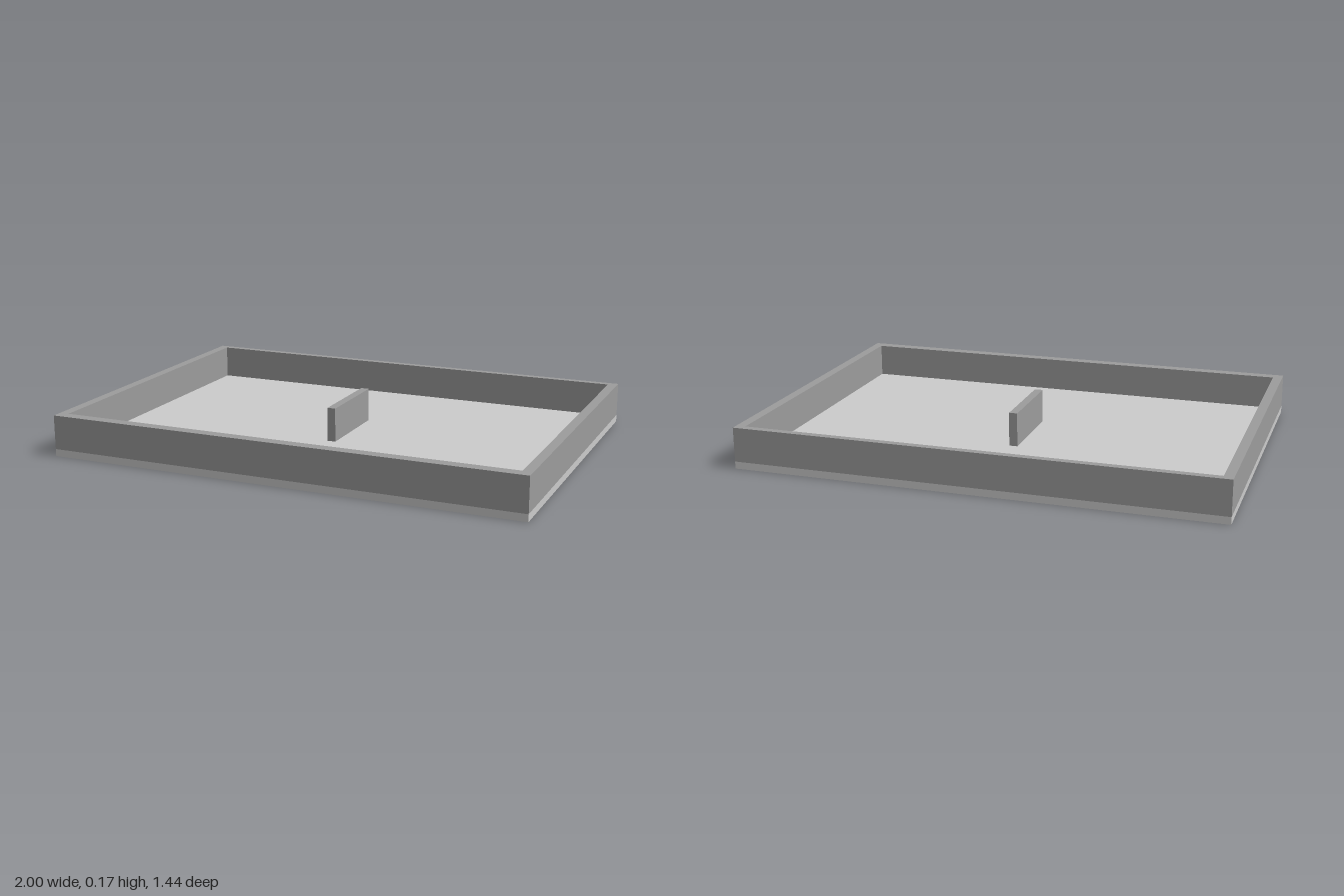
import * as THREE from 'three';

const BASE_TOP = 0.03, TOP = 0.173, HALF_X = 1, HALF_Z = 0.718;

// Box given by its minimum and maximum corners
function block(name, min, max, material) {
  const size = max.map((v, i) => v - min[i]);
  const mesh = new THREE.Mesh(new THREE.BoxGeometry(...size), material);
  mesh.position.set(...max.map((v, i) => (v + min[i]) / 2));
  mesh.name = name;
  return mesh;
}

export function createModel() {
  const model = new THREE.Group();
  model.name = 'tray';
  const floorMaterial = new THREE.MeshStandardMaterial({ color: 0xcccccc });
  const wallMaterial = new THREE.MeshStandardMaterial({ color: 0x9c9c9c });

  // Floor slab
  model.add(block('floor', [-HALF_X, 0, -HALF_Z], [HALF_X, BASE_TOP, HALF_Z], floorMaterial));

  // Rim wall: one rectangular frame, slightly thicker at the front
  const frame = new THREE.Shape([
    new THREE.Vector2(-HALF_X, -HALF_Z), new THREE.Vector2(HALF_X, -HALF_Z),
    new THREE.Vector2(HALF_X, HALF_Z), new THREE.Vector2(-HALF_X, HALF_Z),
  ]);
  frame.holes.push(new THREE.Path([
    new THREE.Vector2(-0.96, -0.672), new THREE.Vector2(-0.96, 0.688),
    new THREE.Vector2(0.96, 0.688), new THREE.Vector2(0.96, -0.672),
  ]));
  const rimGeometry = new THREE.ExtrudeGeometry(frame, { depth: TOP - BASE_TOP, bevelEnabled: false });
  rimGeometry.rotateX(-Math.PI / 2);
  const rim = new THREE.Mesh(rimGeometry, wallMaterial);
  rim.position.y = BASE_TOP;
  rim.name = 'rimWall';
  model.add(rim);

  // Short upright divider near the middle
  model.add(block('divider', [-0.024, BASE_TOP, -0.196], [0.011, TOP, 0.168], wallMaterial));

  return model;
}
